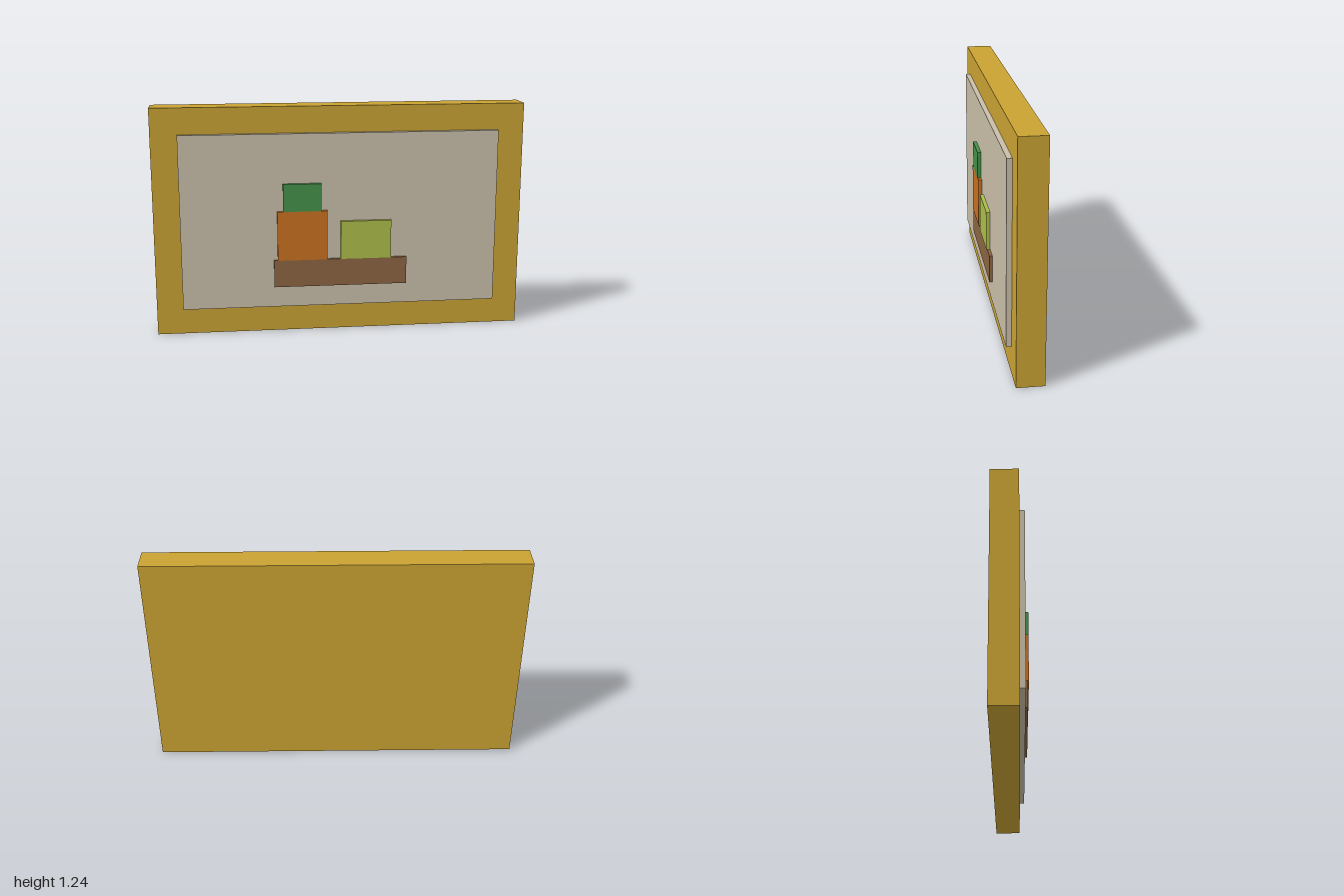
import * as THREE from 'three';

const paint = (name, color) => {
  const m = new THREE.MeshStandardMaterial({ color });
  m.name = name;
  return m;
};

// Box given by its min and max along each axis
function slab(name, material, [x0, x1], [y0, y1], [z0, z1]) {
  const mesh = new THREE.Mesh(new THREE.BoxGeometry(x1 - x0, y1 - y0, z1 - z0), material);
  mesh.name = name;
  mesh.position.set((x0 + x1) / 2, (y0 + y1) / 2, (z0 + z1) / 2);
  return mesh;
}

export function createModel() {
  const group = new THREE.Group();
  group.name = 'framedPicture';

  const gold = paint('gold', 0xc9a233);
  const linen = paint('linen', 0xc9bea8);
  const brown = paint('brown', 0x8b6542);
  const orange = paint('orange', 0xc87020);
  const green = paint('green', 0x449048);
  const lime = paint('lime', 0xadbd4a);

  const canvasFront = 0.075;
  const relief = [canvasFront, 0.095];

  // Frame and raised canvas
  group.add(slab('frame', gold, [-1, 1], [0, 1.24], [-0.094, 0.048]));
  group.add(slab('canvas', linen, [-0.858, 0.858], [0.145, 1.098], [0.048, canvasFront]));

  // Still life in low relief
  group.add(slab('table', brown, [-0.362, 0.362], [0.26, 0.41], [canvasFront, 0.09]));
  group.add(slab('vase', orange, [-0.342, -0.072], [0.41, 0.68], relief));
  group.add(slab('foliage', green, [-0.31, -0.104], [0.68, 0.83], relief));
  group.add(slab('fruit', lime, [0, 0.275], [0.41, 0.62], relief));

  return group;
}
